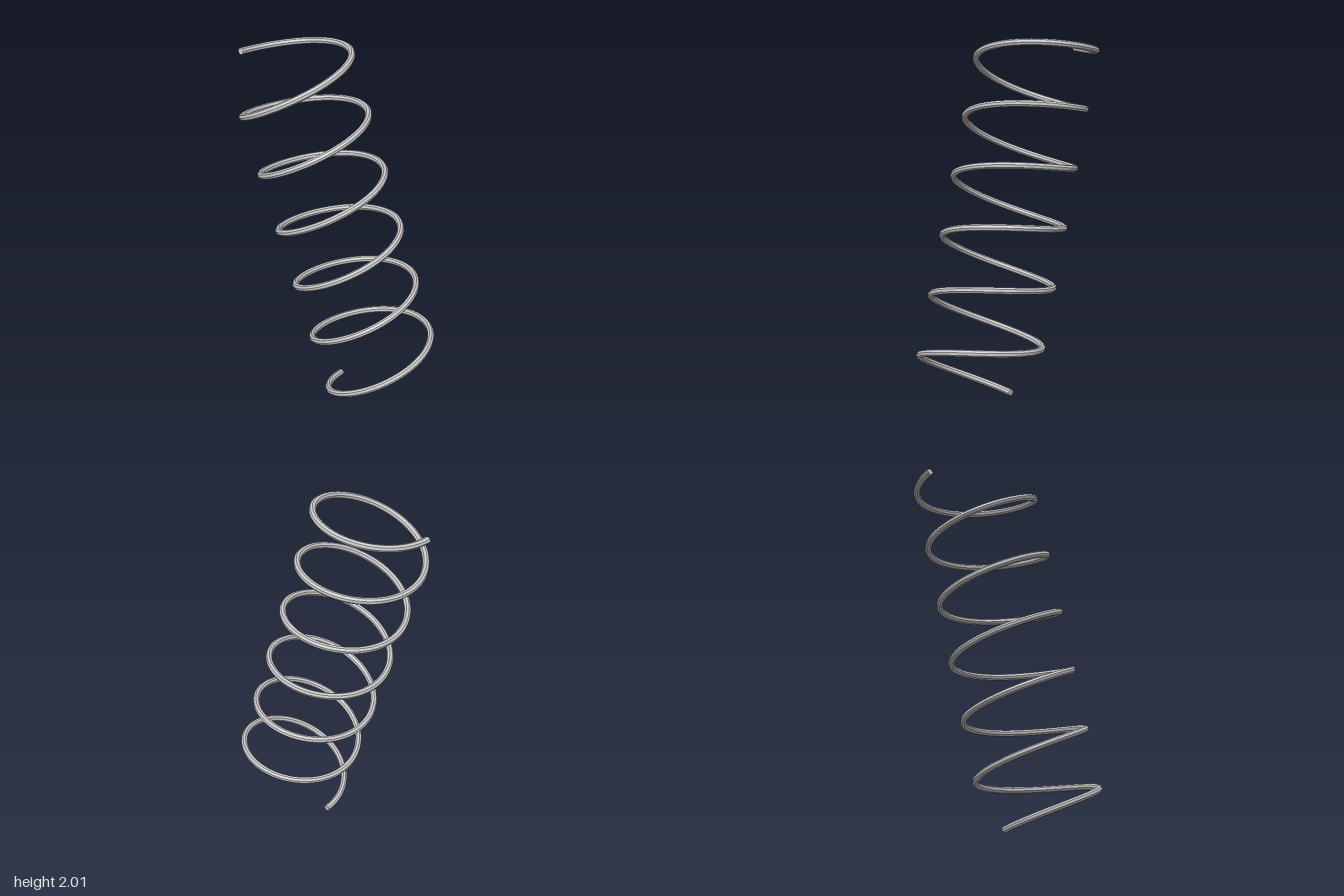
import * as THREE from 'three';
import { mergeGeometries, toCreasedNormals } from 'three/addons/utils/BufferGeometryUtils.js';

const TURNS = 6, WIRE = 0.019, SIDES = 8, STEPS_PER_TURN = 64;

// Helix wound at a right angle around a leaning axis
class LeaningHelix extends THREE.Curve {
  constructor() {
    super();
    this.arcLengthDivisions = 1200;
    this.base = new THREE.Vector3(0.043, 0.121, 0.336);
    this.pitch = new THREE.Vector3(-0.0145, 0.317, -0.105); // rise per turn
    this.u = new THREE.Vector3(0.005, -0.103, -0.307);
    this.v = new THREE.Vector3(-0.326, -0.0147, 0);
  }
  getPoint(t, target = new THREE.Vector3()) {
    const turn = t * TURNS;
    const angle = turn * Math.PI * 2 + 0.045;
    return target.copy(this.base)
      .addScaledVector(this.pitch, turn)
      .addScaledVector(this.u, Math.cos(angle))
      .addScaledVector(this.v, Math.sin(angle));
  }
}

export function createModel() {
  const group = new THREE.Group();
  group.name = 'coilSpring';

  // Faceted wire
  const path = new LeaningHelix();
  const steps = TURNS * STEPS_PER_TURN;
  const wire = new THREE.TubeGeometry(path, steps, WIRE, SIDES);

  // Flat caps on both cut ends, facing outward
  const cap = (i, point, flip) => {
    const n = wire.normals[i], b = wire.binormals[i], t = wire.tangents[i];
    const m = flip
      ? new THREE.Matrix4().makeBasis(b, n, t.clone().negate())
      : new THREE.Matrix4().makeBasis(n, b, t);
    return new THREE.CircleGeometry(WIRE, SIDES).applyMatrix4(m.setPosition(point));
  };
  const geometry = mergeGeometries([
    wire,
    cap(0, path.getPointAt(0), true),
    cap(steps, path.getPointAt(1), false),
  ]);

  // Smooth along the wire, sharp between its sides
  const spring = new THREE.Mesh(
    toCreasedNormals(geometry, 0.5),
    new THREE.MeshStandardMaterial({ color: 0xcccccc })
  );
  spring.name = 'springWire';
  group.add(spring);
  return group;
}
